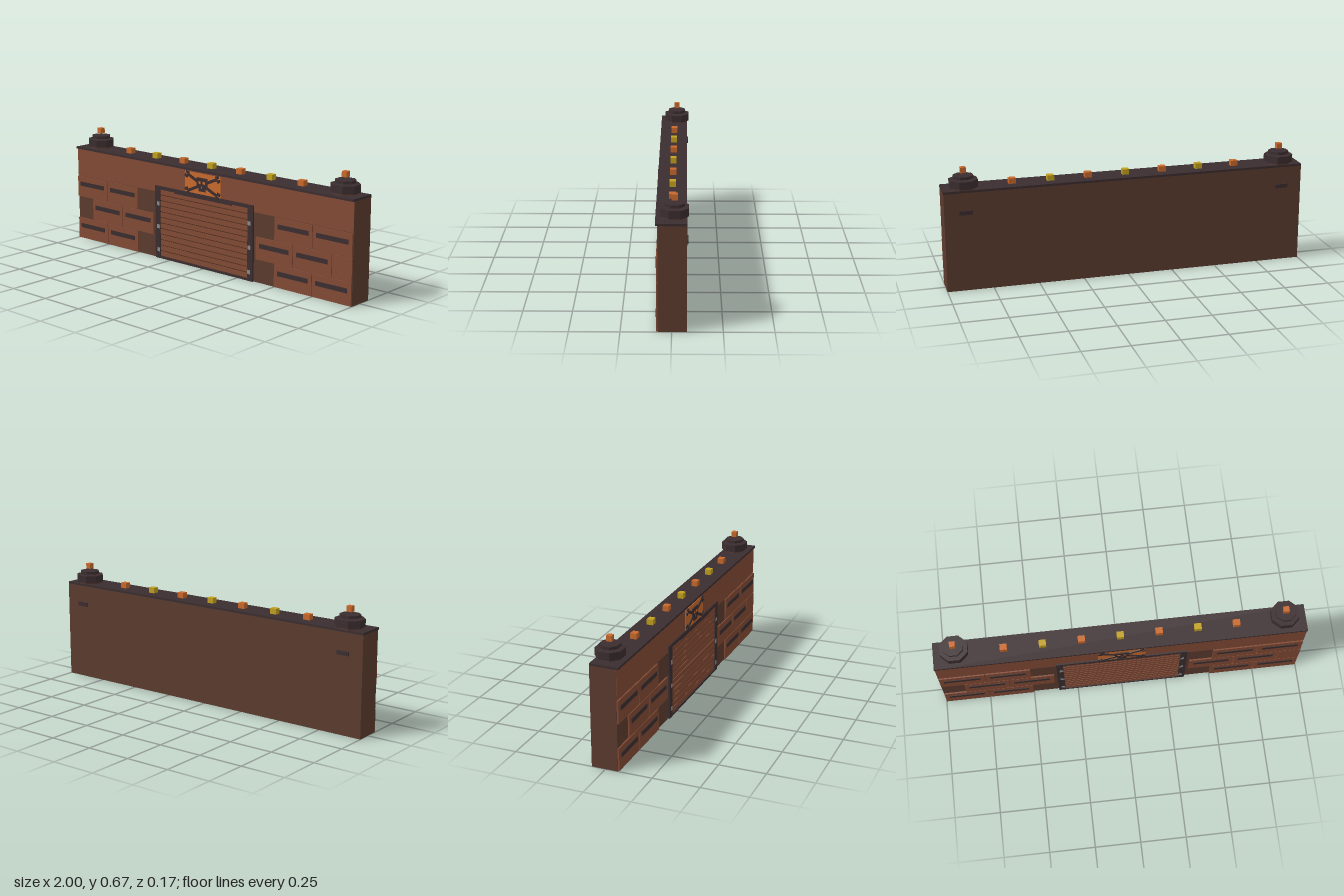
import * as THREE from 'three';

const mat = (name, color) => {
  const m = new THREE.MeshStandardMaterial({ color });
  m.name = name;
  return m;
};

export function createModel() {
  const root = new THREE.Group();
  root.name = 'gatehouseWall';
  const brick = mat('rust brick', 0x824a34);
  const wall = mat('dark brown', 0x5b3b2e);
  wall.side = THREE.DoubleSide;
  const seam = mat('seam brown', 0x54301f);
  const iron = mat('dark iron', 0x3b2d2f);
  const orange = mat('orange', 0xc8692b);
  const yellow = mat('yellow', 0xc2a01e);
  const steel = mat('steel grey', 0x888a8e);

  const add = (name, geo, m, x = 0, y = 0, z = 0) => {
    const mesh = new THREE.Mesh(geo, m);
    mesh.name = name;
    mesh.position.set(x, y, z);
    root.add(mesh);
    return mesh;
  };
  // box given by its limits on each axis
  const box = (name, m, x0, x1, y0, y1, z0, z1) =>
    add(name, new THREE.BoxGeometry(x1 - x0, y1 - y0, z1 - z0), m,
      (x0 + x1) / 2, (y0 + y1) / 2, (z0 + z1) / 2);

  // hollow wall shell, open underneath
  const shell = new THREE.BoxGeometry(2, 0.543, 0.141);
  const idx = Array.from(shell.index.array);
  idx.splice(18, 6);
  shell.setIndex(idx);
  shell.clearGroups();
  add('wallShell', shell, wall, 0, 0.2715, -0.0035);

  // cap and plain band along the top
  box('wallCap', iron, -1, 1, 0.543, 0.555, -0.074, 0.079);
  box('upperBand', brick, -1, 1, 0.382, 0.543, 0.066, 0.069);

  // brick courses, each long brick carrying a dark slot
  const courses = [
    { y: 0, xs: [-1, -0.75, 0.5, 0.75] },
    { y: 0.127, xs: [-0.875, -0.625, 0.375, 0.625] },
    { y: 0.254, xs: [-1, -0.75, 0.5, 0.75] },
  ];
  const gap = 0.002;
  for (const { y, xs } of courses) {
    for (const x of xs) {
      box('brick', brick, x + gap, x + 0.25 - gap, y + gap, y + 0.127 - gap, 0.066, 0.075);
      box('brickSlot', iron, x + 0.026, x + 0.224, y + 0.067, y + 0.092, 0.074, 0.078);
    }
  }
  box('halfBrick', brick, 0.877, 1, 0.129, 0.252, 0.066, 0.075);

  // gate: frame, slats and bolts
  box('gateBacking', seam, -0.33, 0.33, 0, 0.4, 0.066, 0.071);
  const slats = 12, pitch = 0.388 / slats;
  for (let i = 0; i < slats; i++) {
    const y = 0.012 + i * pitch;
    box('gateSlat', brick, -0.322, 0.322, y + 0.003, y + pitch - 0.003, 0.07, 0.074);
  }
  box('gateSill', iron, -0.322, 0.322, 0, 0.012, 0.066, 0.077);
  box('gateLintel', iron, -0.358, 0.358, 0.4, 0.418, 0.066, 0.078);
  box('lintelRail', iron, -0.21, 0.21, 0.393, 0.402, 0.066, 0.077);
  for (const s of [-1, 1]) {
    add('gateJamb', new THREE.BoxGeometry(0.037, 0.4, 0.012), iron, s * 0.3395, 0.2, 0.072);
    for (const y of [0.05, 0.185, 0.318])
      add('gateBolt', new THREE.BoxGeometry(0.02, 0.022, 0.01), steel, s * 0.333, y, 0.0745);
  }

  // emblem: plate, crossed bars and a blocky skull
  const ey = 0.475;
  box('emblemPlate', orange, -0.129, 0.129, 0.42, 0.535, 0.072, 0.076);
  for (const s of [-1, 1]) {
    const bar = add('crossedBar', new THREE.BoxGeometry(0.235, 0.016, 0.004), iron, 0, ey, 0.0785);
    bar.rotation.z = s * 0.41;
    for (const e of [-1, 1]) {
      const a = s * 0.41;
      const cx = e * 0.112, cy = ey + s * e * 0.046;
      for (const k of [-1, 1])
        add('barKnob', new THREE.BoxGeometry(0.022, 0.016, 0.004), iron,
          cx - k * Math.sin(a) * 0.013, cy + k * Math.cos(a) * 0.011, 0.0785).rotation.z = a;
    }
  }
  const skull = new THREE.Shape([
    [-0.037, 0.035], [-0.037, -0.012], [-0.024, -0.016], [-0.024, -0.04],
    [0.024, -0.04], [0.024, -0.016], [0.037, -0.012], [0.037, 0.035],
  ].map(([x, y]) => new THREE.Vector2(x, y)));
  add('skull', new THREE.ExtrudeGeometry(skull, { depth: 0.006, bevelEnabled: false }), iron, 0, ey + 0.003, 0.077);
  for (const s of [-1, 1])
    add('skullEye', new THREE.BoxGeometry(0.017, 0.014, 0.002), orange, s * 0.016, ey + 0.012, 0.0825);
  add('skullNose', new THREE.BoxGeometry(0.008, 0.01, 0.002), orange, 0, ey - 0.014, 0.0825);

  // octagonal prism measured across its flats
  const octagon = (name, m, x, z, halfFlat, y0, y1, topHalf = halfFlat) => {
    const k = 1 / Math.cos(Math.PI / 8);
    const geo = new THREE.CylinderGeometry(topHalf * k, halfFlat * k, y1 - y0, 8)
      .rotateY(Math.PI / 8).toNonIndexed();
    geo.computeVertexNormals();
    geo.scale(1.06, 1, 1);
    return add(name, geo, m, x, (y0 + y1) / 2, z);
  };

  // end posts with beacons, and rear plates
  for (const s of [-1, 1]) {
    const x = s * 0.885, z = -0.0135;
    octagon('postColumn', wall, x, z, 0.06, 0.001, 0.564);
    octagon('postCollar', iron, x, z, 0.0695, 0.563, 0.604);
    octagon('postDisc', iron, x, z, 0.049, 0.61, 0.625);
    add('beacon', new THREE.BoxGeometry(0.03, 0.03, 0.03), orange, x, 0.653, z);
    add('rearPlate', new THREE.BoxGeometry(0.07, 0.022, 0.01), iron, x, 0.435, -0.076);
  }

  // row of lamps along the cap
  for (let i = -3; i <= 3; i++)
    add('capLamp', new THREE.BoxGeometry(0.038, 0.03, 0.034), i % 2 ? orange : yellow, i * 0.208, 0.57, 0);

  return root;
}
